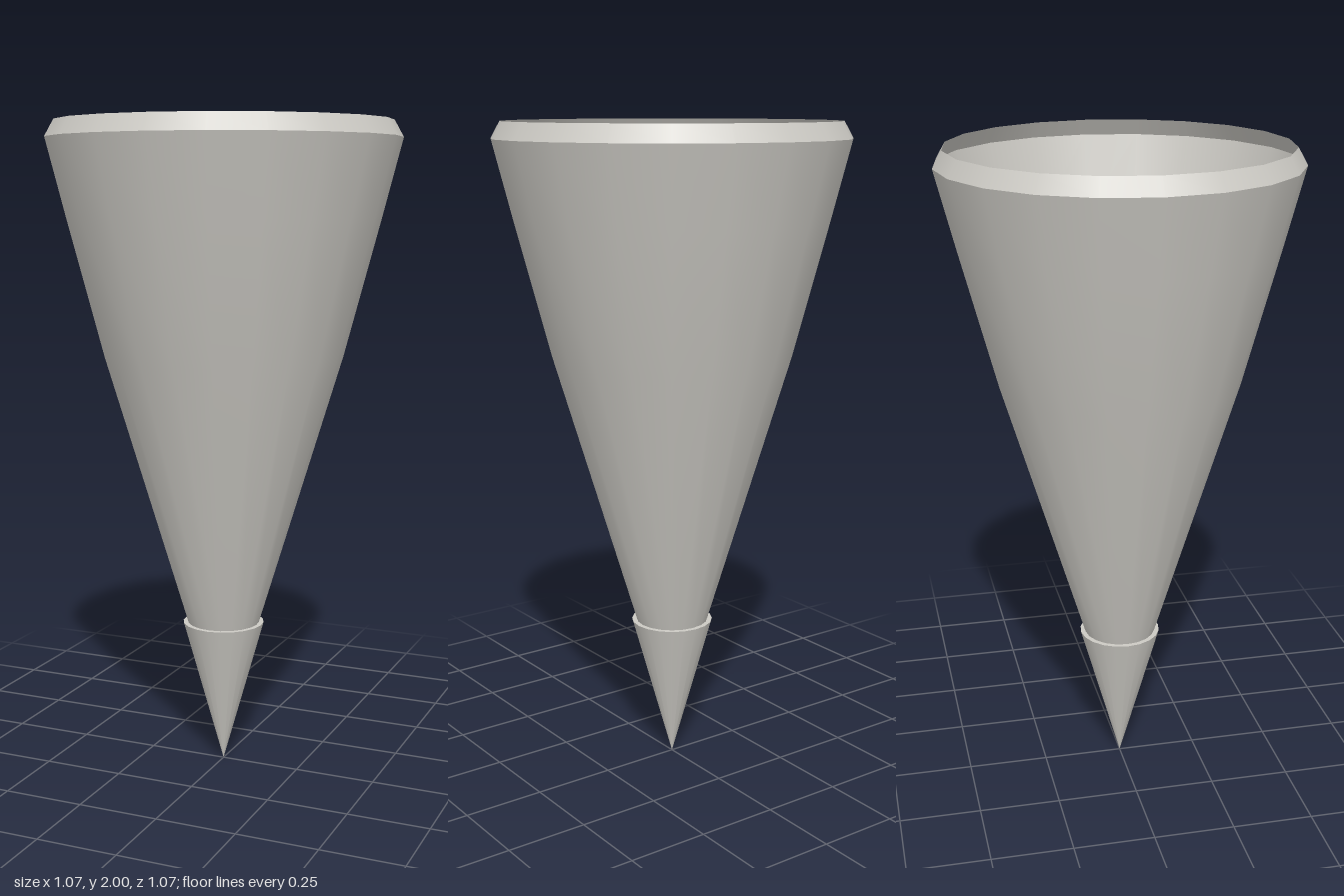
import * as THREE from 'three';

const SIDES = 20;

export function createModel() {
  const group = new THREE.Group();
  const grey = new THREE.MeshStandardMaterial({ color: 0xcccac4, side: THREE.DoubleSide });
  grey.name = 'warm grey';

  // Each part is a thin open shell, turned from a [radius, height] profile listed bottom to top
  const turn = (name, profile) => {
    const points = profile.map(([r, y]) => new THREE.Vector2(r, y));
    const mesh = new THREE.Mesh(new THREE.LatheGeometry(points, SIDES), grey);
    mesh.name = name;
    group.add(mesh);
  };

  // Pointed tip, slightly wider than the neck of the body
  turn('tip', [[0, 0], [0.127, 0.457]]);
  // Small flat step between tip and body
  turn('tipLedge', [[0.127, 0.457], [0.112, 0.457]]);
  // Hollow body, its flare easing off towards the top
  turn('body', [[0.112, 0.457], [0.365, 1.3], [0.474, 1.717], [0.533, 1.95]]);
  // Lip leaning inwards around the open mouth
  turn('rim', [[0.533, 1.95], [0.505, 2]]);

  return group;
}
